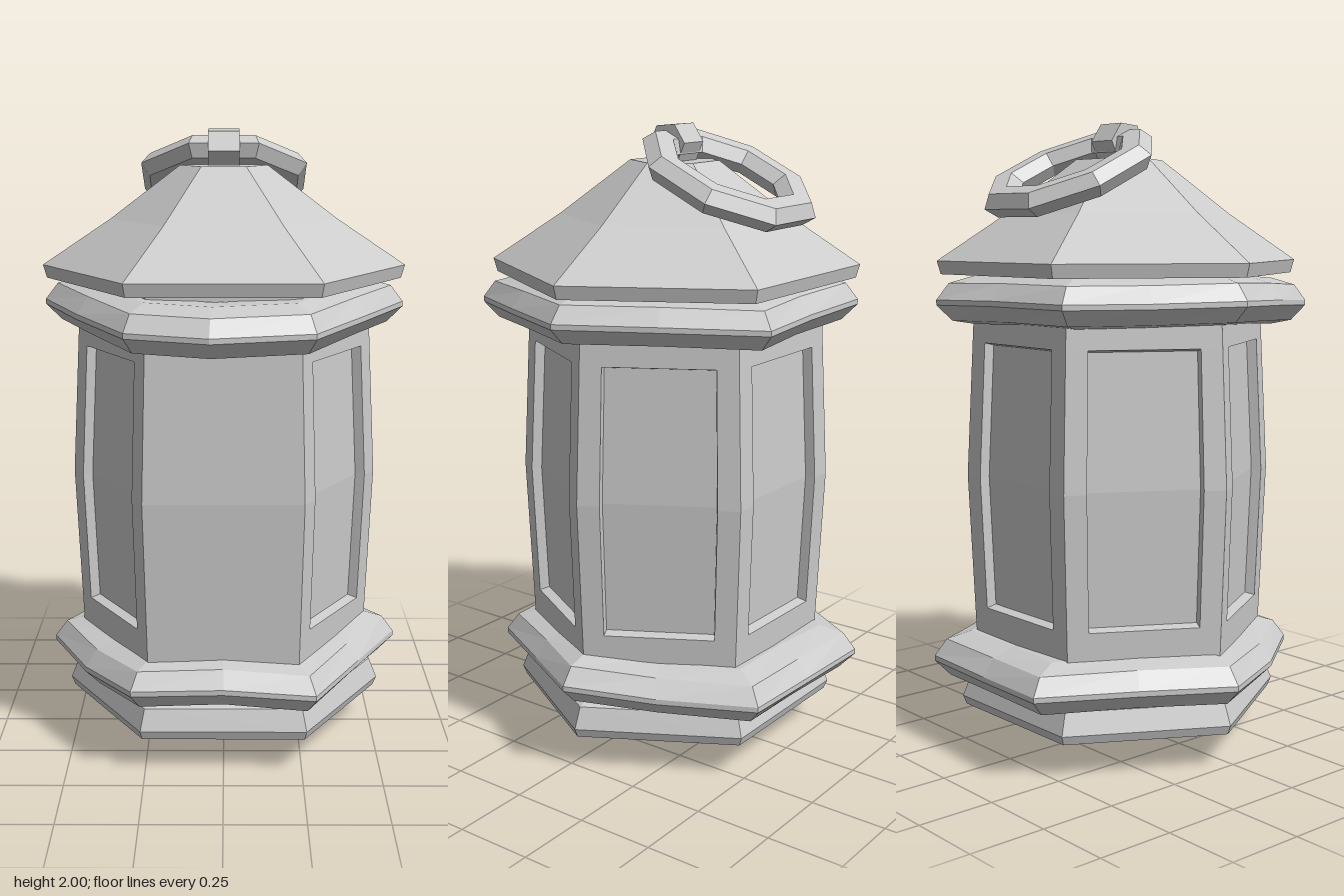
import * as THREE from 'three';

const CZ = -0.04; // z of the lantern's axis

const material = new THREE.MeshStandardMaterial({ color: 0xcccccc, flatShading: true });

function addMesh(parent, name, geometry) {
  const flat = geometry.index ? geometry.toNonIndexed() : geometry;
  flat.computeVertexNormals();
  const mesh = new THREE.Mesh(flat, material);
  mesh.name = name;
  parent.add(mesh);
  return mesh;
}

// Six-sided turned part with corners on the x axis
function hexLathe(parent, name, profile) {
  const geo = new THREE.LatheGeometry(profile.map(([r, y]) => new THREE.Vector2(r, y)), 6);
  geo.rotateY(Math.PI / 6);
  geo.translate(0, 0, CZ);
  return addMesh(parent, name, geo);
}

function fromTriangles(points) {
  return new THREE.BufferGeometry().setFromPoints(points);
}

// Uneven band: faceted section swept through hand-placed outer points [x, z, y]
function band(parent, name, path, half) {
  const section = [[0, 0.015], [0.04, 0.7], [0.12, 1], [0.22, 1], [0.22, -1], [0.12, -1], [0.05, -0.85], [0, -0.2]];
  const loops = path.map(([x, z, y]) => {
    const r = Math.hypot(x, z - CZ);
    return section.map(([inset, h]) => {
      const k = (r - inset) / r;
      return new THREE.Vector3(x * k, y + h * half, CZ + (z - CZ) * k);
    });
  });
  const tris = [];
  loops.forEach((loop, i) => {
    const next = loops[(i + 1) % loops.length];
    loop.forEach((a, j) => {
      const m = (j + 1) % loop.length;
      tris.push(a, loop[m], next[j], loop[m], next[m], next[j]);
    });
  });
  return addMesh(parent, name, fromTriangles(tris));
}

// Radius of the slightly bulging body
function bodyRadius(y) {
  return y < 0.88 ? 0.5 - (0.88 - y) * 0.042 : 0.5 - (y - 0.88) * 0.052;
}

// One wall of the body, optionally with a recessed panel
function wall(parent, index, recessed) {
  const a0 = index * Math.PI / 3, a1 = a0 + Math.PI / 3, mid = (a0 + a1) / 2;
  const point = (u, y, depth = 0) => {
    const r = bodyRadius(y);
    return new THREE.Vector3(
      r * THREE.MathUtils.lerp(Math.cos(a0), Math.cos(a1), u) - depth * Math.cos(mid), y,
      CZ + r * THREE.MathUtils.lerp(Math.sin(a0), Math.sin(a1), u) - depth * Math.sin(mid));
  };
  const tris = [];
  const quad = (a, b, c, d) => tris.push(a, b, c, a, c, d);
  const us = recessed ? [0, 0.14, 0.86, 1] : [0, 1];
  const ys = recessed ? [0.3, 0.45, 0.88, 1.31, 1.53] : [0.3, 0.88, 1.53];
  const depth = 0.032;
  for (let i = 0; i < us.length - 1; i++) {
    for (let j = 0; j < ys.length - 1; j++) {
      const [u, v, y, t] = [us[i], us[i + 1], ys[j], ys[j + 1]];
      const inPanel = recessed && i === 1 && (j === 1 || j === 2);
      if (!inPanel) {
        quad(point(u, y), point(u, t), point(v, t), point(v, y));
        continue;
      }
      // Sunk panel with its rim
      const b = 0.008;
      const lo = j === 1 ? y + b : y, hi = j === 2 ? t - b : t;
      const A = point(u + b, lo, depth), B = point(u + b, hi, depth);
      const C = point(v - b, hi, depth), D = point(v - b, lo, depth);
      quad(A, B, C, D);
      quad(point(u, y), point(u, t), B, A);
      quad(D, C, point(v, t), point(v, y));
      if (j === 1) quad(point(u, y), A, D, point(v, y));
      if (j === 2) quad(B, point(u, t), point(v, t), C);
    }
  }
  addMesh(parent, recessed ? 'panelWall' : 'plainWall', fromTriangles(tris));
}

export function createModel() {
  const lantern = new THREE.Group();
  lantern.name = 'lantern';

  // Knob and base plate
  hexLathe(lantern, 'bottomKnob', [[0, 0], [0.168, 0.052], [0.168, 0.092], [0.14, 0.11]]);
  hexLathe(lantern, 'basePlate', [[0, 0.095], [0.3, 0.1], [0.515, 0.113], [0.527, 0.142], [0.5, 0.21], [0.4, 0.25]]);

  // Body: plain front, panels on the other five sides
  const body = new THREE.Group();
  body.name = 'body';
  lantern.add(body);
  for (let i = 0; i < 6; i++) wall(body, i, i !== 1);

  // Rough bands around the bottom and top of the body
  band(lantern, 'lowerBand', [
    [0.58, -0.04, 0.31], [0.44, 0.2, 0.295], [0.29, 0.46, 0.28], [0, 0.46, 0.3],
    [-0.29, 0.45, 0.29], [-0.45, 0.22, 0.28], [-0.58, -0.06, 0.285], [-0.43, -0.33, 0.29],
    [-0.26, -0.6, 0.285], [0.02, -0.585, 0.28], [0.3, -0.58, 0.285], [0.45, -0.3, 0.29],
  ], 0.078);
  band(lantern, 'upperBand', [
    [0.58, -0.02, 1.45], [0.44, 0.26, 1.445], [0.27, 0.54, 1.43], [-0.04, 0.6, 1.425],
    [-0.29, 0.53, 1.43], [-0.45, 0.25, 1.445], [-0.58, -0.04, 1.455], [-0.45, -0.3, 1.45],
    [-0.32, -0.53, 1.45], [0, -0.55, 1.45], [0.26, -0.575, 1.445], [0.43, -0.3, 1.45],
  ], 0.076);

  // Roof
  hexLathe(lantern, 'roof', [[0, 1.525], [0.575, 1.525], [0.587, 1.567], [0.365, 1.715], [0.14, 1.885], [0, 1.885]]);

  // Tilted carrying ring
  const ring = new THREE.TorusGeometry(0.2325, 0.06, 6, 8);
  ring.rotateZ(Math.PI / 8);
  ring.scale(1, 1, 0.75);
  const handle = addMesh(lantern, 'carryingRing', ring);
  handle.rotation.x = -Math.PI / 2 - THREE.MathUtils.degToRad(25);
  handle.position.set(0, 1.84, -0.245);

  // Clasp holding the ring to the roof
  const clasp = addMesh(lantern, 'ringClasp', new THREE.CylinderGeometry(0.068, 0.068, 0.1, 6));
  clasp.rotation.set(0.09, 0, Math.PI / 2);
  clasp.position.set(0, 1.936, -0.047);

  return lantern;
}
